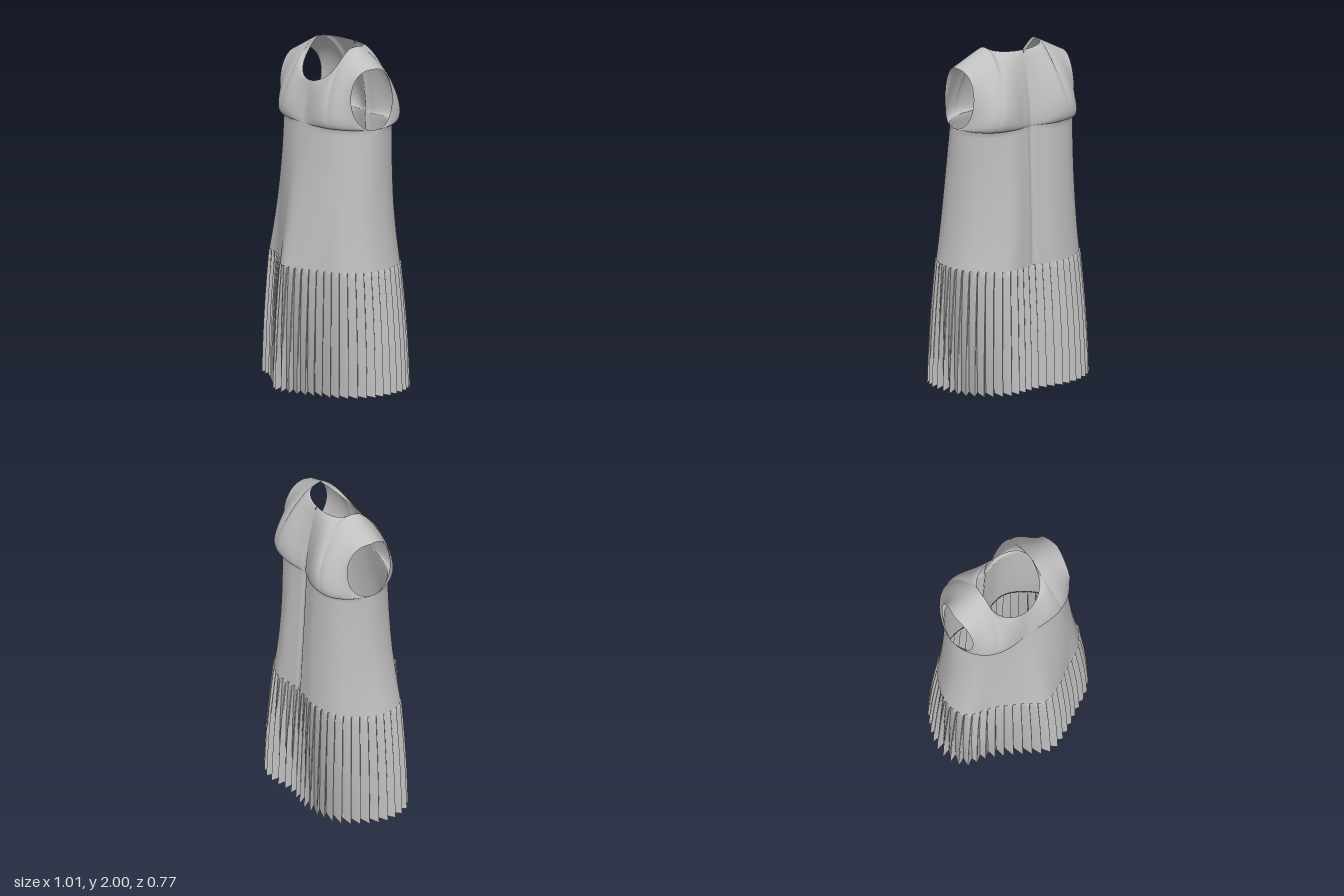
import * as THREE from 'three';
import { mergeGeometries, mergeVertices, toCreasedNormals } from 'three/addons/utils/BufferGeometryUtils.js';

const lerp = THREE.MathUtils.lerp;
const CX = 0.01; // the bodice hangs slightly off centre

// closed outline in the xz plane, starting at the front and running towards +x
function outline(points) {
  const c = new THREE.CatmullRomCurve3(points.map(([x, z]) => new THREE.Vector3(x, 0, z)), true);
  c.arcLengthDivisions = 600;
  return c;
}

const hem = outline([
  [0.01, 0.385], [0.14, 0.35], [0.27, 0.28], [0.41, 0.20],
  [0.495, 0.05], [0.485, -0.14], [0.41, -0.27], [0.23, -0.385],
  [0.02, -0.35], [-0.17, -0.36], [-0.34, -0.30], [-0.44, -0.19],
  [-0.505, 0], [-0.45, 0.15], [-0.31, 0.20], [-0.14, 0.295],
]);
const WAIST_X = 0.89, WAIST_Z = 0.865, WAIST_Y = 0.73, ARMPIT_Y = 1.55;

const halfChest = [[0.13, 0.178], [0.26, 0.135], [0.35, 0.05], [0.39, -0.045],
  [0.365, -0.145], [0.28, -0.24], [0.14, -0.278]];
const chest = outline([
  [CX, 0.186],
  ...halfChest.map(([x, z]) => [CX + x, z]),
  [CX, -0.262],
  ...halfChest.slice().reverse().map(([x, z]) => [CX - x, z]),
]);

// quad grid from fn(i / nu, j / nv, i, j) -> [x, y, z]
function grid(nu, nv, fn) {
  const pos = [], idx = [];
  for (let j = 0; j <= nv; j++) for (let i = 0; i <= nu; i++) pos.push(...fn(i / nu, j / nv, i, j));
  for (let j = 0; j < nv; j++) for (let i = 0; i < nu; i++) {
    const a = j * (nu + 1) + i, b = a + 1, d = a + nu + 1, c = d + 1;
    idx.push(a, b, c, a, c, d);
  }
  const g = new THREE.BufferGeometry();
  g.setAttribute('position', new THREE.Float32BufferAttribute(pos, 3));
  g.setIndex(idx);
  return g;
}

// lower bodice ring at height fraction s (0 waist, 1 armpit)
function bodyPoint(t, s) {
  t = ((t % 1) + 1) % 1;
  const w = hem.getPoint(t), c = chest.getPoint(t);
  const k = 1 - Math.pow(1 - s, 2.5);
  const seam = 0.012 * Math.exp(-Math.pow((t - 0.5) / 0.006, 2)); // centre back seam
  return [lerp(w.x * WAIST_X, c.x, k), lerp(WAIST_Y, ARMPIT_Y, s), lerp(w.z * WAIST_Z, c.z, s) + seam];
}

// upper edge of a panel: neckline in the middle, shoulder seams outside
const NECK_U = 0.46;
function topEdge(u, front) {
  const a = Math.abs(u), sgn = Math.sign(u) * (front ? 1 : -1);
  if (a >= NECK_U) {
    const k = (a - NECK_U) / (1 - NECK_U);
    return [CX + sgn * lerp(0.178, 0.366, k), lerp(2.0, 1.9, k), -0.045];
  }
  const ang = (a / NECK_U) * Math.PI / 2;
  const c = Math.pow(Math.max(Math.cos(ang), 0), 0.75);
  return [CX + sgn * 0.178 * Math.sin(ang), 2.0 - (front ? 0.205 : 0.015) * c,
    -0.045 + (front ? 0.185 : -0.13) * c];
}

// front or back panel between the armholes
function panel(front) {
  return grid(120, 28, (p, v) => {
    const u = p * 2 - 1, a = Math.abs(u);
    const b = bodyPoint((front ? 0 : 0.5) + 0.25 * u, 1), t = topEdge(u, front);
    const s = (1 - Math.cos(Math.PI * v)) / 2, bow = Math.sin(Math.PI * v);
    const sgn = Math.sign(u) * (front ? 1 : -1), w = Math.pow(a, 1.2);
    const mid = Math.pow(Math.sin(Math.PI * a), 2);
    const fill = front ? 0.03 * mid : 0.02 * (1 - a * a) + 0.05 * mid;
    const armhole = 0.145 * Math.pow(Math.max(bow, 0), 0.8) * w;
    return [
      lerp(b[0], t[0], s) - sgn * 0.03 * bow * w,
      lerp(b[1], t[1], s),
      lerp(b[2], t[2], s) + (front ? 1 : -1) * (armhole + fill * bow),
    ];
  });
}

// knife pleats: [fraction along the pleat, fraction of the depth]
const PLEATS = 52;
const FOLD = [[-0.12, 0], [0.2, 0.3], [0.5, 0.56], [0.8, 0.86], [0.95, 1], [1, 0.9]];
function skirtGeometry() {
  const rows = [0, 0.2, 0.4, 0.6, 0.8, 0.94, 0.985, 1];
  const n = PLEATS * FOLD.length;
  const g = grid(n, rows.length - 1, (p, q, i, j) => {
    const w = rows[j], m = i % n;
    const [f, h] = FOLD[m % FOLD.length];
    const t = (Math.floor(m / FOLD.length) + f) / PLEATS;
    const c = hem.getPointAt(((t % 1) + 1) % 1);
    const x = c.x * lerp(1, WAIST_X, w), z = c.z * lerp(1, WAIST_Z, w);
    const depth = lerp(0.05, 0.018, w);
    const off = w === 1 ? -0.004 : depth * (h - 1) + 0.008 * Math.sin(Math.PI * w) + 0.006 * w;
    const k = 1 + off / Math.hypot(x, z);
    return [x * k, lerp(0.012 * (1 - h), WAIST_Y + 0.004, w), z * k];
  });
  return toCreasedNormals(g, 0.7);
}

export function createModel() {
  const group = new THREE.Group();
  group.name = 'dress';
  const fabric = new THREE.MeshStandardMaterial({ color: 0xc0c0c0, side: THREE.DoubleSide });
  fabric.name = 'grey fabric';
  const add = (name, geometry) => {
    const mesh = new THREE.Mesh(geometry, fabric);
    mesh.name = name;
    group.add(mesh);
    return mesh;
  };

  // sleeveless bodice: lower tube joined to the front and back panels
  const tube = grid(240, 24, (t, s) => bodyPoint(t, s));
  const bodice = mergeVertices(mergeGeometries([tube, panel(true), panel(false)]), 1e-4);
  bodice.computeVertexNormals();
  add('bodice', bodice);

  // pleated skirt
  add('pleatedSkirt', skirtGeometry());

  // small fastening loop at the back of the neck
  const loop = add('neckLoop', new THREE.TorusGeometry(0.008, 0.002, 6, 16));
  loop.position.set(CX, 1.978, -0.182);
  loop.rotation.y = Math.PI / 2;

  return group;
}
